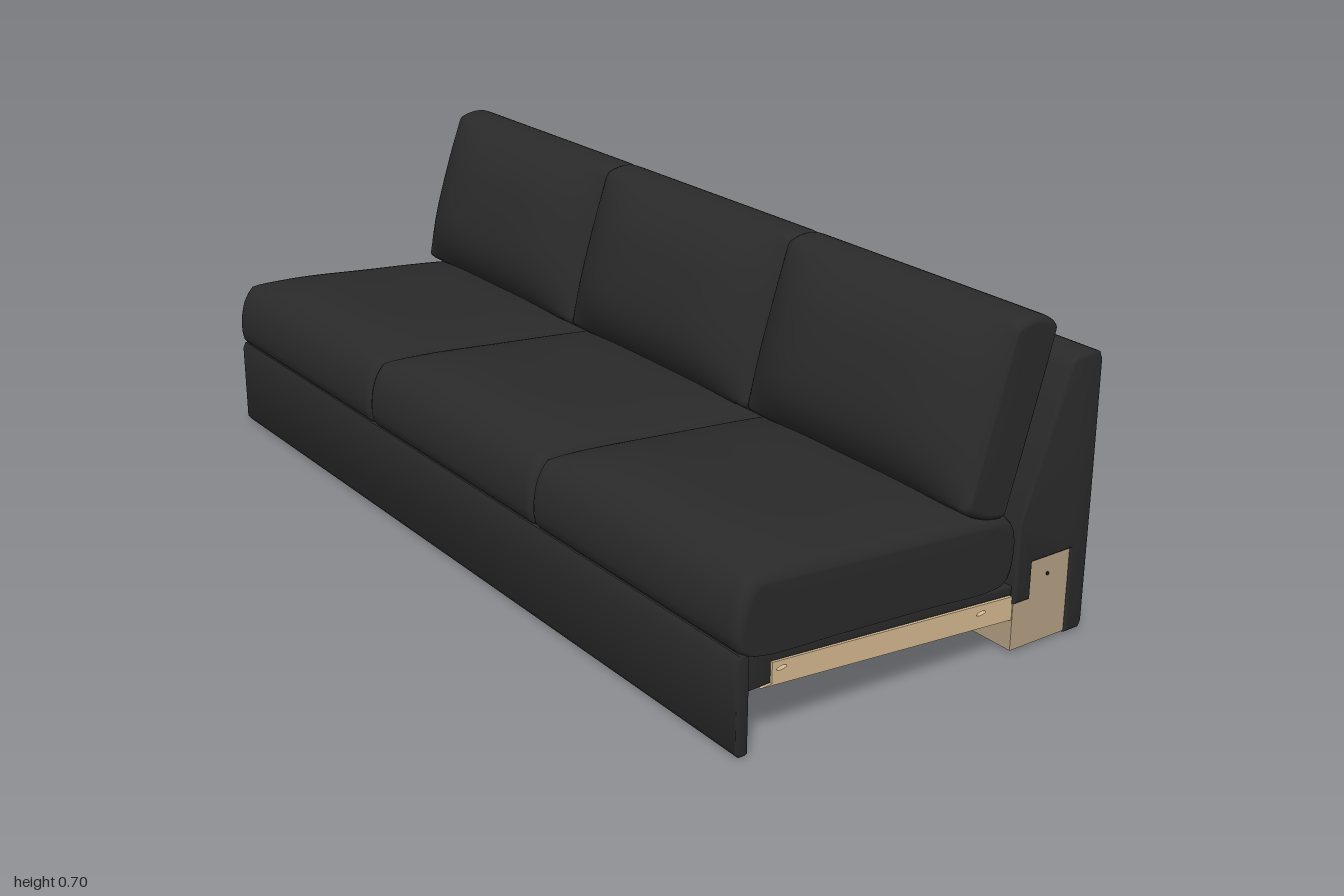
import * as THREE from 'three';
import { toCreasedNormals } from 'three/addons/utils/BufferGeometryUtils.js';

function material(name, color) {
  const m = new THREE.MeshStandardMaterial({ color });
  m.name = name;
  return m;
}
const fabric = material('charcoal fabric', 0x2a2a2a);
const webbing = material('black webbing', 0x1e1e1e);
const wood = material('light wood', 0xd6ba92);
const board = material('grey brown board', 0xb5a084);

function add(group, name, geometry, mat) {
  const mesh = new THREE.Mesh(geometry, mat);
  mesh.name = name;
  group.add(mesh);
  return mesh;
}

// Box given by its limits on each axis
function block(x0, x1, y0, y1, z0, z1) {
  return new THREE.BoxGeometry(x1 - x0, y1 - y0, z1 - z0)
    .translate((x0 + x1) / 2, (y0 + y1) / 2, (z0 + z1) / 2);
}

// Side profile of [z, y] points, extruded from x0 to x1
function sideExtrude(points, x0, x1, bevel = 0, slots = []) {
  const shape = new THREE.Shape(points.map(([z, y]) => new THREE.Vector2(-z, y)));
  for (const [z, y] of slots) {
    const hole = new THREE.Path();
    hole.absellipse(-z, y, 0.012, 0.004, 0, Math.PI * 2, true, 0.08);
    shape.holes.push(hole);
  }
  const g = new THREE.ExtrudeGeometry(shape, {
    depth: x1 - x0 - 2 * bevel, bevelEnabled: bevel > 0, bevelSize: bevel,
    bevelThickness: bevel, bevelOffset: -bevel, bevelSegments: 3, curveSegments: 8,
  }).rotateY(Math.PI / 2).translate(x0 + bevel, 0, 0);
  return toCreasedNormals(g, 0.7);
}

// Puffy cushion: a closed [z, y] section swept along x, flattening towards both ends
// to a straight strip that reaches endThick either side of its long axis
function cushion(points, center, axis, width, endThick, halfLength, halfThick) {
  const curve = new THREE.CatmullRomCurve3(
    points.map(([z, y]) => new THREE.Vector3(0, y, z)), true, 'centripetal');
  const ring = curve.getSpacedPoints(80).slice(0, 80);
  const n = ring.length, rows = 40, r = 0.02;
  const [cz, cy] = center;
  const len = Math.hypot(axis[0], axis[1]);
  const dz = axis[0] / len, dy = axis[1] / len;
  const pos = [], index = [];
  for (let i = 0; i <= rows; i++) {
    const u = -Math.cos(Math.PI * i / rows);
    const x = u * width / 2;
    const e = Math.max(0, r - (width / 2 - Math.abs(x)));
    const inset = r - Math.sqrt(Math.max(0, r * r - e * e));
    const sl = 1 - inset / halfLength, st = 1 - inset / halfThick;
    for (const p of ring) {
      const a = ((p.z - cz) * dz + (p.y - cy) * dy) * sl;
      const full = (p.y - cy) * dz - (p.z - cz) * dy;
      const flat = THREE.MathUtils.clamp(full, -endThick, endThick);
      const b = THREE.MathUtils.lerp(full, flat, u ** 4) * st;
      pos.push(x, cy + a * dy + b * dz, cz + a * dz - b * dy);
    }
  }
  for (let i = 0; i < rows; i++) {
    for (let j = 0; j < n; j++) {
      const k = (j + 1) % n, a = i * n, b = a + n;
      index.push(a + j, b + j, a + k, b + j, b + k, a + k);
    }
  }
  // End caps
  const c0 = pos.length / 3, last = rows * n;
  pos.push(-width / 2, cy, cz, width / 2, cy, cz);
  for (let j = 0; j < n; j++) {
    const k = (j + 1) % n;
    index.push(c0, j, k, c0 + 1, last + k, last + j);
  }
  const g = new THREE.BufferGeometry();
  g.setAttribute('position', new THREE.Float32BufferAttribute(pos, 3));
  g.setIndex(index);
  g.computeVertexNormals();
  return g;
}

export function createModel() {
  const sofa = new THREE.Group();
  sofa.name = 'armlessSofa';
  const W = 0.995;

  // Three seat and three back cushions
  const seatGeo = cushion([
    [0.445, 0.26], [0.43, 0.325], [0.39, 0.367], [0.32, 0.385], [0.1, 0.369], [-0.1, 0.347],
    [-0.19, 0.32], [-0.235, 0.28], [-0.24, 0.22], [-0.225, 0.17], [-0.19, 0.16],
    [0, 0.172], [0.2, 0.184], [0.41, 0.199], [0.438, 0.215],
  ], [0.1, 0.195], [1, 0.07], 0.668, 0.135, 0.34, 0.15);
  const backGeo = cushion([
    [-0.18, 0.305], [-0.1, 0.34], [-0.065, 0.4], [-0.06, 0.46], [-0.085, 0.55], [-0.13, 0.64],
    [-0.19, 0.69], [-0.26, 0.705], [-0.32, 0.67], [-0.342, 0.61], [-0.33, 0.54],
    [-0.295, 0.44], [-0.255, 0.35], [-0.22, 0.31],
  ], [-0.205, 0.51], [-0.28, 0.96], 0.668, 0.055, 0.25, 0.13);
  for (const i of [-1, 0, 1]) {
    add(sofa, 'seatCushion', seatGeo, fabric).position.x = i * 0.665;
    add(sofa, 'backCushion', backGeo, fabric).position.x = i * 0.663;
  }

  // Upholstered backrest, hollow underneath
  add(sofa, 'backrest', sideExtrude([
    [-0.245, 0.11], [-0.245, 0.28], [-0.35, 0.575], [-0.36, 0.592], [-0.378, 0.6], [-0.42, 0.602],
    [-0.435, 0.596], [-0.441, 0.58], [-0.443, 0.3], [-0.443, 0.02], [-0.436, 0.005],
    [-0.395, 0.005], [-0.395, 0.19], [-0.29, 0.19], [-0.29, 0.11],
  ], -W, W, 0.007), fabric);

  // Front apron with wooden inside face and cleat
  add(sofa, 'frontApron', sideExtrude([
    [0.412, 0.006], [0.418, 0.003], [0.432, 0.003], [0.44, 0.014], [0.441, 0.195],
    [0.434, 0.208], [0.42, 0.21], [0.412, 0.2],
  ], -W, W, 0.004), fabric);
  add(sofa, 'apronInnerFace', block(-0.97, 0.97, 0.028, 0.125, 0.41, 0.414), board);
  add(sofa, 'apronCleat', block(-0.96, 0.96, 0.008, 0.031, 0.395, 0.413), wood);

  // Sloping upholstered seat deck
  add(sofa, 'seatDeck', sideExtrude([
    [0.414, 0.2], [0.414, 0.125], [0.355, 0.127], [0.355, 0.17], [-0.247, 0.127], [-0.247, 0.147],
    [0.2, 0.184],
  ], -0.985, 0.985, 0.003), fabric);
  add(sofa, 'webbingPanel', sideExtrude(
    [[0.35, 0.169], [0.35, 0.164], [-0.21, 0.122], [-0.21, 0.129]], -0.94, 0.94), webbing);

  // Wooden seat frame rails and the board closing the hollow of the back
  add(sofa, 'frontRail', block(-0.96, 0.96, 0.122, 0.168, 0.348, 0.388), wood);
  add(sofa, 'rearRail', block(-0.96, 0.96, 0.079, 0.126, -0.247, -0.2), wood);
  add(sofa, 'backFrameBoard', block(-0.89, 0.89, 0.01, 0.112, -0.264, -0.248), board);
  add(sofa, 'backFrameLining', block(-0.89, 0.89, 0.1, 0.19, -0.293, -0.262), board);

  // Small dark clips along the lower edge of the back
  for (const x of [-0.7, -0.3, 0.2, 0.72]) {
    add(sofa, 'backClip', block(x - 0.012, x + 0.012, 0.004, 0.02, -0.396, -0.365), webbing);
  }

  // Parts mirrored left and right
  for (const s of [-1, 1]) {
    const span = (a, b) => (s > 0 ? [a, b] : [-b, -a]);
    add(sofa, 'sideRail', sideExtrude([
      [0.355, 0.17], [0.355, 0.127], [0.38, 0.125], [-0.247, 0.075], [-0.247, 0.126],
    ], ...span(0.955, 0.988), 0, [[0.333, 0.153], [-0.163, 0.114]]), wood);

    add(sofa, 'rearFootBox', sideExtrude([
      [-0.247, 0.008], [-0.247, 0.112], [-0.288, 0.112], [-0.288, 0.192], [-0.396, 0.192],
      [-0.396, 0.008],
    ], ...span(0.87, 0.99)), board);
    const screw = new THREE.CylinderGeometry(0.004, 0.004, 0.004, 10).rotateZ(Math.PI / 2);
    add(sofa, 'footScrew', screw, webbing).position.set(s * 0.99, 0.152, -0.337);

    add(sofa, 'backRib', block(...span(0.32, 0.345), 0.02, 0.195, -0.397, -0.26), board);

    // Sagging strap below the webbing
    const strap = new THREE.QuadraticBezierCurve3(
      new THREE.Vector3(s * 0.33, 0.155, 0.31),
      new THREE.Vector3(s * 0.33, 0.085, 0.1),
      new THREE.Vector3(s * 0.33, 0.125, -0.13));
    add(sofa, 'seatStrap', new THREE.TubeGeometry(strap, 16, 0.008, 8), fabric);
  }
  return sofa;
}
